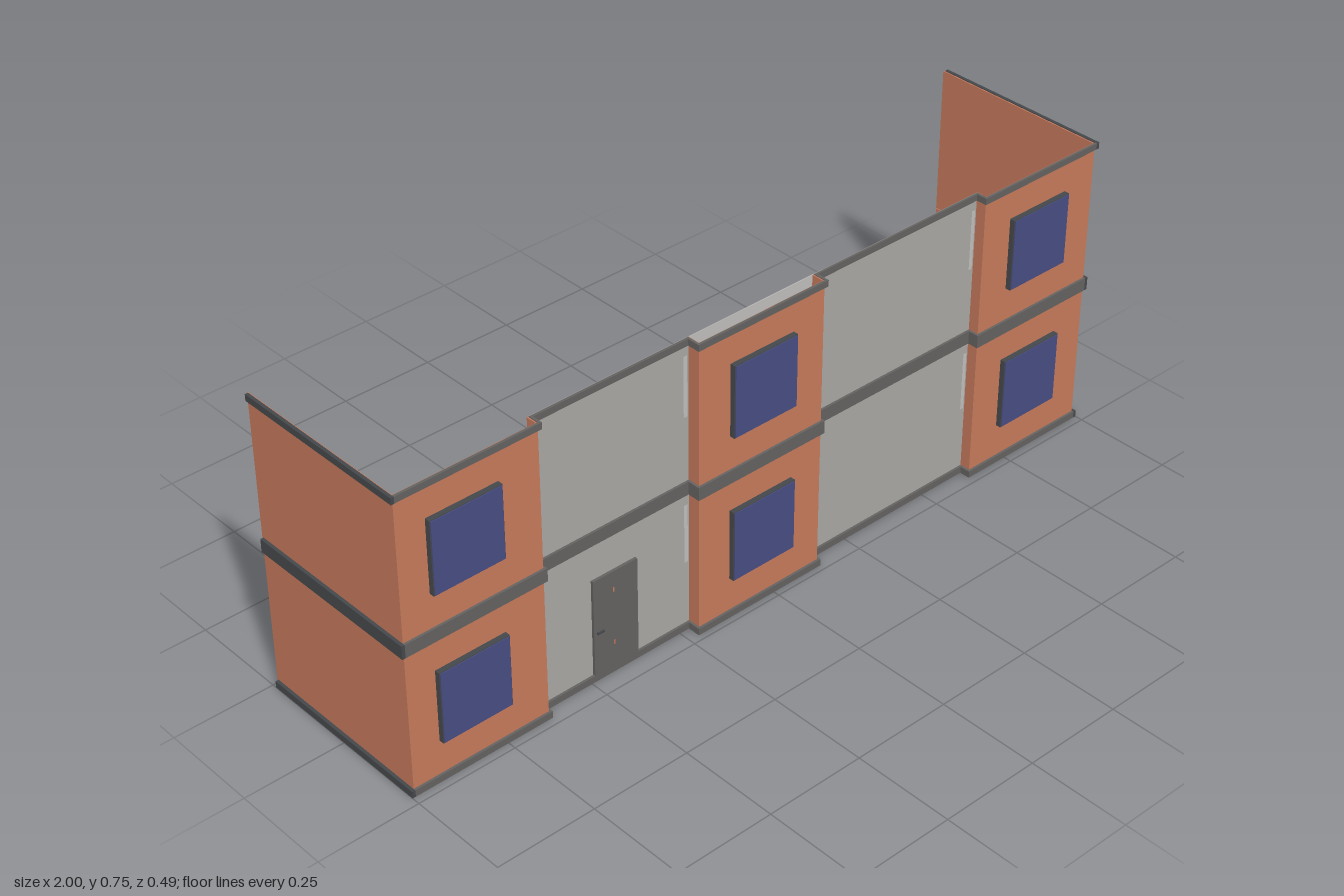
import * as THREE from 'three';

const mat = (name, color) => {
  const m = new THREE.MeshStandardMaterial({ color });
  m.name = name;
  return m;
};

export function createModel() {
  const brick = mat('brick', 0xc4795b);
  const grey = mat('grey render', 0xa8a7a3);
  const paleGrey = mat('pale grey render', 0xbebdbb);
  const trim = mat('warm dark trim', 0x646260);
  const slate = mat('slate trim', 0x45484b);
  const glass = mat('blue glass', 0x484c82);

  const model = new THREE.Group();
  model.name = 'facade';

  // Axis-aligned box given by its limits
  const box = (name, m, x0, x1, y0, y1, z0, z1, parent = model) => {
    const mesh = new THREE.Mesh(new THREE.BoxGeometry(x1 - x0, y1 - y0, z1 - z0), m);
    mesh.position.set((x0 + x1) / 2, (y0 + y1) / 2, (z0 + z1) / 2);
    mesh.name = name;
    parent.add(mesh);
    return mesh;
  };

  const T = 0.003;       // wall thickness
  const B = 0.006;       // band projection
  const recess = 0.197;  // plane of the recessed walls
  const floors = [[0, 0.374], [0.376, 0.748]];
  const bands = [[0, 0.017], [0.36, 0.393], [0.734, 0.75]];

  // Brick bays: x limits, front plane, and which sides return to the recess
  const bays = [
    { name: 'rightBay', x0: -0.992, x1: -0.637, z: 0.224, returns: [1] },
    { name: 'centreBay', x0: -0.218, x1: 0.137, z: 0.229, returns: [-1, 1] },
    { name: 'leftBay', x0: 0.635, x1: 0.992, z: 0.224, returns: [-1] },
  ];
  for (const { name, x0, x1, z, returns } of bays) {
    const bay = new THREE.Group();
    bay.name = name;
    model.add(bay);
    for (const [y0, y1] of floors) {
      box('bayWall', brick, x0, x1, y0, y1, z - T, z, bay);
      for (const s of returns) {
        const x = s < 0 ? x0 : x1 - T;
        box('bayReturn', brick, x, x + T, y0, y1, recess - T, z - T, bay);
      }
    }
    const b0 = returns.includes(-1) ? x0 - B : x0;
    const b1 = returns.includes(1) ? x1 + B : x1;
    for (const [y0, y1] of bands) {
      box('bayBand', trim, b0, b1, y0, y1, z, z + B, bay);
      for (const s of returns) {
        const x = s < 0 ? x0 - B : x1;
        box('returnBand', trim, x, x + B, y0, y1, recess, z, bay);
      }
    }
    // Projecting windows, one for each floor
    const cx = name === 'centreBay' ? -0.04 : name === 'leftBay' ? 0.81 : -0.83;
    for (const y of [0.194, 0.569]) {
      box('windowFrame', slate, cx - 0.09, cx + 0.09, y - 0.091, y + 0.091, z, z + 0.013, bay);
      box('windowPane', glass, cx - 0.088, cx + 0.088, y - 0.089, y + 0.089, z + 0.013, z + 0.015, bay);
    }
  }

  // Recessed walls between the bays, with pale slivers beside the corners
  for (const [x0, x1] of [[-0.634, -0.218], [0.137, 0.635]]) {
    for (const [y0, y1] of floors) {
      box('recessedWall', grey, x0, x1, y0, y1, recess - T, recess);
      box('paleEdge', paleGrey, x0, x0 + 0.008, y0 + 0.02, y0 + 0.12, recess, recess + 0.0008);
      box('paleEdge', paleGrey, x1 - 0.014, x1 - 0.004, y0 + 0.18, y0 + 0.33, recess, recess + 0.0008);
    }
    for (const [y0, y1] of bands) box('recessBand', trim, x0, x1, y0, y1, recess, recess + B);
  }

  // Pale wall closing the back of the centre bay
  for (const [y0, y1] of floors)
    box('centreBackWall', paleGrey, -0.218, 0.137, y0, y1, recess - T, recess - T / 2);

  // Side walls with their bands
  for (const s of [-1, 1]) {
    const side = new THREE.Group();
    side.name = s > 0 ? 'leftSide' : 'rightSide';
    model.add(side);
    const slab = (name, m, a, b, y0, y1, z0, z1) =>
      box(name, m, Math.min(s * a, s * b), Math.max(s * a, s * b), y0, y1, z0, z1, side);
    for (const [y0, y1] of floors) slab('sideWall', brick, 0.989, 0.992, y0, y1, -0.243, 0.224);
    for (const [y0, y1] of bands) {
      slab('sideBand', slate, 0.992, 1, y0, y1, -0.239, 0.224);
      slab('cornerBand', slate, 0.992, 1, y0, y1, 0.224, 0.224 + B);
    }
  }

  // Entrance door with handle
  const door = new THREE.Group();
  door.name = 'door';
  model.add(door);
  box('doorLeaf', trim, -0.492, -0.37, 0.018, 0.268, recess, recess + 0.007, door);
  box('doorHandle', slate, -0.484, -0.466, 0.126, 0.131, recess + 0.007, recess + 0.011, door);
  for (const y of [0.075, 0.215])
    box('doorMark', brick, -0.438, -0.435, y, y + 0.012, recess + 0.007, recess + 0.0075, door);

  return model;
}
